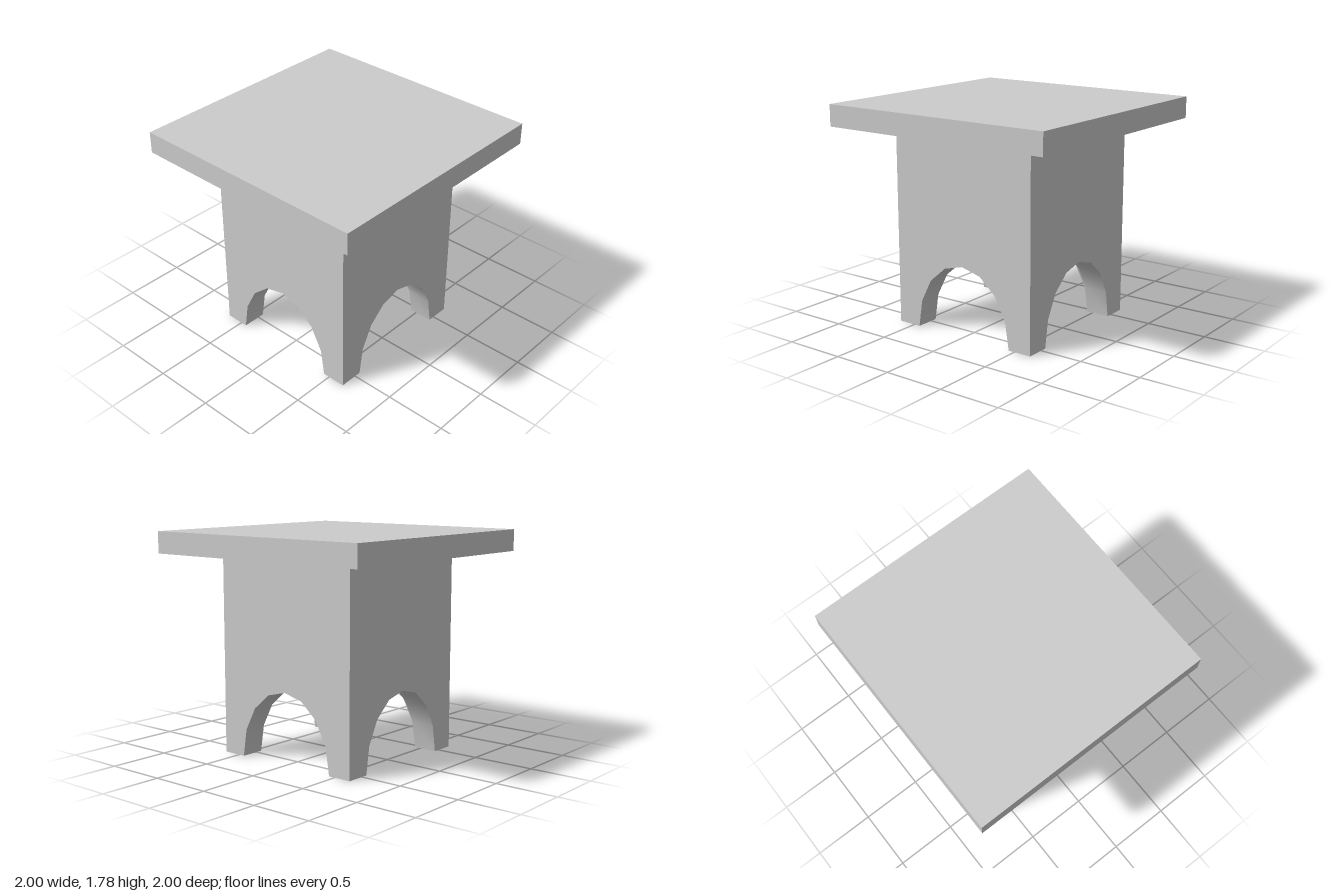
import * as THREE from 'three';

const HALF = 0.645;   // outer half width of the base
const INNER = 0.447;  // inner half width, also the half span of each arch
const RISE = 0.575;   // arch height
const BASE_TOP = 1.61;
const HEIGHT = 1.785;
const STEPS = 8;

const material = new THREE.MeshStandardMaterial({ color: 0xcccccc });

// Smooth surface between two polylines with the same number of points
function ruled(a, b) {
  const positions = [], index = [];
  a.forEach((p, i) => {
    positions.push(...p, ...b[i]);
    if (i > 0) {
      const k = 2 * (i - 1);
      index.push(k, k + 1, k + 2, k + 1, k + 3, k + 2);
    }
  });
  const geometry = new THREE.BufferGeometry();
  geometry.setAttribute('position', new THREE.Float32BufferAttribute(positions, 3));
  geometry.setIndex(index);
  geometry.computeVertexNormals();
  return geometry;
}

function addMesh(parent, name, geometry) {
  const mesh = new THREE.Mesh(geometry, material);
  mesh.name = name;
  parent.add(mesh);
  return mesh;
}

export function createModel() {
  const model = new THREE.Group();
  model.name = 'squareTable';

  // Arch outline from left to right
  const arch = [];
  for (let i = 0; i <= STEPS; i++) {
    const t = Math.PI * (1 - i / STEPS);
    arch.push([INNER * Math.cos(t), RISE * Math.sin(t)]);
  }

  // Top slab
  const slab = addMesh(model, 'tableTop', new THREE.BoxGeometry(2, HEIGHT - BASE_TOP, 2));
  slab.position.y = (HEIGHT + BASE_TOP) / 2;

  // Outer wall with the arch cut out of its lower edge
  const outline = [[-HALF, 0], ...arch, [HALF, 0], [HALF, BASE_TOP], [-HALF, BASE_TOP]];
  const wall = new THREE.ShapeGeometry(new THREE.Shape(outline.map(([x, y]) => new THREE.Vector2(x, y))));
  wall.translate(0, 0, HALF);

  // Underside of the arch through the wall thickness
  const soffit = ruled(arch.map(([x, y]) => [x, y, HALF]), arch.map(([x, y]) => [x, y, INNER]));

  // Inner corner of a leg, spreading from the foot up to the ceiling
  const rightHalf = arch.slice(STEPS / 2).reverse();
  const corner = ruled(rightHalf.map(([x, y]) => [INNER, y, x]), rightHalf.map(([x, y]) => [x, y, INNER]));

  // Square sole of a leg
  const foot = new THREE.PlaneGeometry(HALF - INNER, HALF - INNER).rotateX(Math.PI / 2);
  foot.translate((HALF + INNER) / 2, 0, (HALF + INNER) / 2);

  // The same side and leg repeat at every quarter turn
  ['front', 'left', 'back', 'right'].forEach((side, i) => {
    const group = new THREE.Group();
    group.name = side + 'Side';
    group.rotation.y = i * Math.PI / 2;
    addMesh(group, 'wall', wall);
    addMesh(group, 'archSoffit', soffit);
    addMesh(group, 'legInnerCorner', corner);
    addMesh(group, 'foot', foot);
    model.add(group);
  });

  // Diamond ceiling joining the four arch crowns
  const ceiling = addMesh(model, 'ceiling', new THREE.CircleGeometry(INNER, 4).rotateX(Math.PI / 2));
  ceiling.position.y = RISE;

  return model;
}
